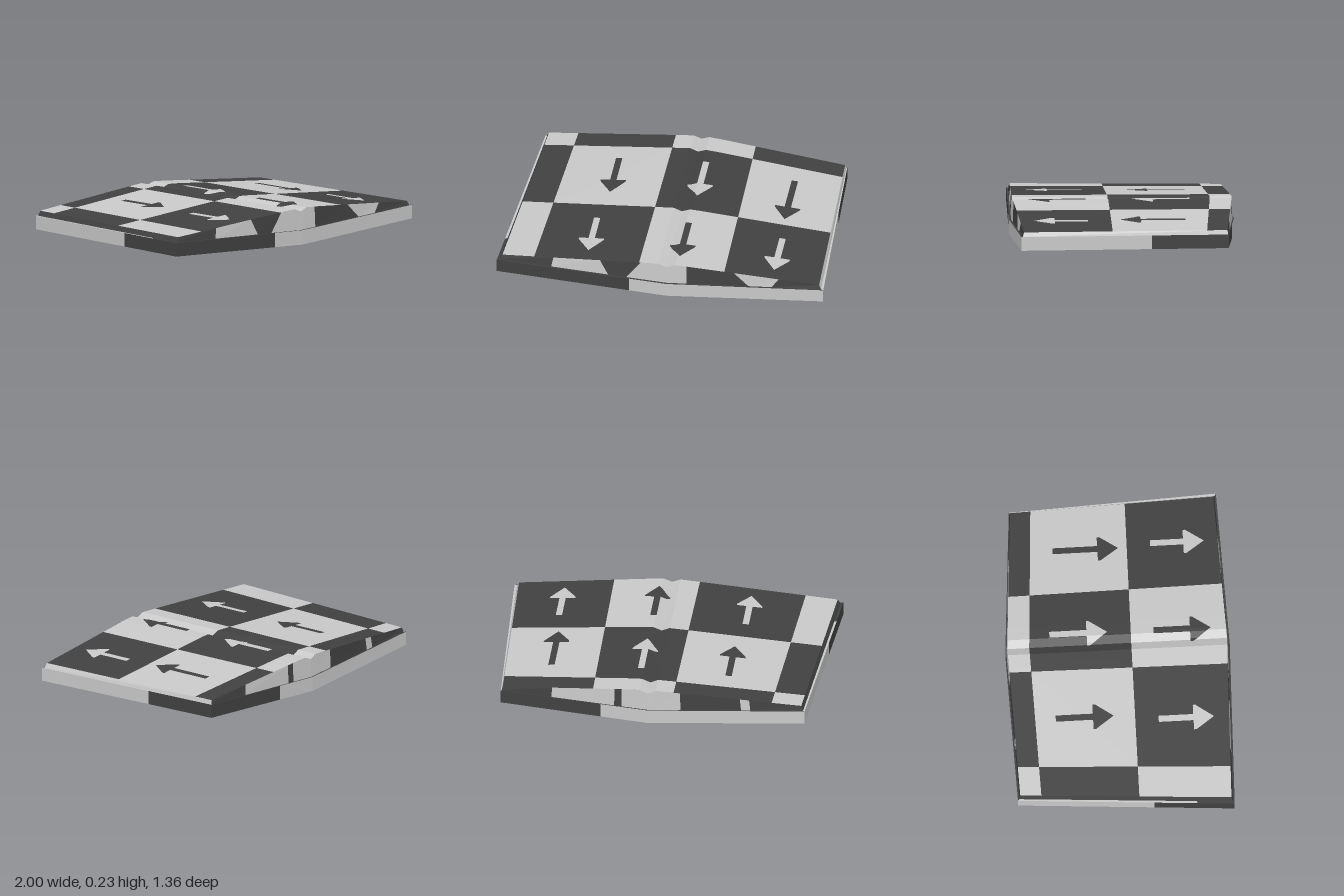
import * as THREE from 'three';

const SPINE = 0.04;
const lerp = THREE.MathUtils.lerp;

// Outlines: l / r = [xFront, zFront, xBack, zBack] at the outer edges, m = [zFront, zBack] at the spine
const coverRim = { l: [-1, 0.65, -0.91, -0.655], m: [0.677, -0.68], r: [0.995, 0.645, 0.94, -0.61] };
const pageBase = { l: [-0.985, 0.64, -0.9, -0.645], m: [0.665, -0.672], r: [0.98, 0.635, 0.935, -0.607] };
const pageRim = { l: [-0.968, 0.632, -0.888, -0.64], m: [0.66, -0.668], r: [0.967, 0.628, 0.928, -0.603] };

// Heights across the book: u runs from -1 (right edge) through 0 (spine) to 1 (left edge)
const coverBottom = (u) => 0.045 * Math.abs(u);
const coverTop = (u) => 0.088 + 0.04 * Math.abs(u);
const profile = [[-1, 0.158], [-0.14, 0.215], [-0.05, 0.22], [0, 0.2], [0.055, 0.22], [0.14, 0.216], [1, 0.153]];
function pageTop(u) {
  let i = 0;
  while (i < profile.length - 2 && u > profile[i + 1][0]) i++;
  const [a, b] = [profile[i], profile[i + 1]];
  return lerp(a[1], b[1], (u - a[0]) / (b[0] - a[0]));
}

// Point on an outline: v runs from 0 (back) to 1 (front)
function point(rim, height, u, v) {
  const s = u < 0 ? rim.l : rim.r;
  const k = Math.abs(u);
  return [
    SPINE + k * (lerp(s[2], s[0], v) - SPINE),
    height(u),
    lerp(lerp(rim.m[1], s[3], k), lerp(rim.m[0], s[1], k), v),
  ];
}

// Spine fraction u at a given x and z
function uAt(rim, x, z) {
  const s = x < SPINE ? rim.l : rim.r;
  const edge = lerp(s[2], s[0], (z + 0.65) / 1.3);
  return Math.sign(x - SPINE) * Math.min(1, Math.abs((x - SPINE) / (edge - SPINE)));
}

export function createModel() {
  const group = new THREE.Group();
  const materials = {
    Light: new THREE.MeshStandardMaterial({ color: 0xc9c9c9 }),
    Dark: new THREE.MeshStandardMaterial({ color: 0x414141 }),
  };
  materials.Light.name = 'lightGrey';
  materials.Dark.name = 'darkGrey';

  const parts = {};
  const quad = (part, dark, corners, flip = false) => {
    const [a, b, c, d] = flip ? [...corners].reverse() : corners;
    const key = part + (dark ? 'Dark' : 'Light');
    parts[key] ??= { data: [], material: materials[dark ? 'Dark' : 'Light'] };
    parts[key].data.push(...a, ...b, ...c, ...a, ...c, ...d);
  };

  // Chequered sheet cut at the colour bounds and at the folds
  function sheet(part, rim, height, us, vs, folds, firstDark, flip) {
    const cuts = [...new Set([-1, ...us, ...folds, 1])].sort((a, b) => a - b);
    const rows = [0, ...vs, 1];
    for (let i = 0; i < cuts.length - 1; i++) {
      const column = us.filter((u) => u <= cuts[i]).length;
      for (let j = 0; j < rows.length - 1; j++) {
        const dark = (column + j + firstDark) % 2 === 1;
        const p = (u, v) => point(rim, height, u, v);
        quad(part, dark, [p(cuts[i], rows[j + 1]), p(cuts[i + 1], rows[j + 1]),
          p(cuts[i + 1], rows[j]), p(cuts[i], rows[j])], flip);
      }
    }
  }

  // Front or back strip; splits = [uLower, uUpper, dark from here on]
  function wall(part, low, lowY, high, highY, splits, v) {
    const all = [...splits, [1, 1]];
    for (let i = 0; i < splits.length; i++) {
      const [a, b] = [all[i], all[i + 1]];
      quad(part, all[i][2], [point(low, lowY, a[0], v), point(low, lowY, b[0], v),
        point(high, highY, b[1], v), point(high, highY, a[1], v)], v === 0);
    }
  }

  // Strip along an outer edge; splits = [v, dark from here on]
  function side(part, low, lowY, high, highY, splits, u) {
    splits.forEach(([v0, dark], i) => {
      const v1 = i + 1 < splits.length ? splits[i + 1][0] : 1;
      quad(part, dark, [point(low, lowY, u, v1), point(low, lowY, u, v0),
        point(high, highY, u, v0), point(high, highY, u, v1)], u < 0);
    });
  }

  // Painted arrow draped on a surface, from tail to tip along z
  function arrow(part, dark, rim, height, lift, x, tail, tip, halfWidth = 0.077, shaft = 0.25) {
    const dir = Math.sign(tip - tail);
    const neck = tip - dir * 0.125;
    const cuts = [-1, -0.75, -0.5, -shaft, 0, shaft, 0.5, 0.75, 1];
    const p = (a, z) => {
      const px = x + a * halfWidth;
      return [px, height(uAt(rim, px, z)) + lift, z];
    };
    for (let i = 0; i < cuts.length - 1; i++) {
      const [a, b] = [cuts[i], cuts[i + 1]];
      const start = Math.abs(a + b) / 2 < shaft ? tail : neck;
      const end = (t) => tip - dir * 0.11 * Math.abs(t);
      quad(part, dark, [p(a, end(a)), p(b, end(b)), p(b, start), p(a, start)], (dir < 0) !== (lift < 0));
    }
  }

  // Cover
  sheet('coverUnderside', coverRim, coverBottom, [-0.205, 0.475], [0.55], [0], 0, true);
  wall('coverFront', coverRim, coverBottom, coverRim, coverTop,
    [[-1, -1, true], [-0.22, -0.22, false], [0, 0, false]], 1);
  wall('coverBack', coverRim, coverBottom, coverRim, coverTop,
    [[-1, -1, false], [0, 0, false], [0.32, 0.32, true]], 0);
  side('coverSide', coverRim, coverBottom, coverRim, coverTop, [[0, true], [0.37, false]], 1);
  side('coverSide', coverRim, coverBottom, coverRim, coverTop, [[0, false], [0.63, true]], -1);

  // Ledge of the cover around the pages
  for (const v of [0, 1]) {
    wall('coverLedge', coverRim, coverTop, pageBase, coverTop, [[-1, -1, true], [0, 0, true]], v);
  }
  side('coverLedge', coverRim, coverTop, pageBase, coverTop, [[0, false]], 1);
  side('coverLedge', coverRim, coverTop, pageBase, coverTop, [[0, false], [0.83, true]], -1);

  // Page block
  sheet('pagesTop', pageRim, pageTop, [-0.807, -0.168, 0.378], [0.1, 0.564],
    profile.map((p) => p[0]), 0, false);
  const fold = [-0.05, 0, 0.055].map((u) => [u, u, false]);
  wall('pagesFront', pageBase, coverTop, pageRim, pageTop, [
    [-1, -1, true], [-0.69, -0.69, false], [-0.35, -0.406, true], [-0.24, -0.158, false],
    ...fold, [0.13, 0.13, true], [0.53, 0.44, false], [0.68, 0.735, true]], 1);
  wall('pagesBack', pageBase, coverTop, pageRim, pageTop, [
    [-1, -1, true], [-0.66, -0.66, false], [-0.6, -0.6, true], [-0.21, -0.21, false],
    ...fold, [0.18, 0.18, true], [0.23, 0.23, false], [0.66, 0.66, true]], 0);
  side('pagesSide', pageBase, coverTop, pageRim, pageTop, [[0, false]], 1);
  side('pagesSide', pageBase, coverTop, pageRim, pageTop, [[0, true]], -1);

  // Arrows on the pages: [x, tail, tip, dark]
  for (const [x, tail, tip, dark] of [
    [-0.42, -0.4, -0.05, true], [0.11, -0.41, -0.06, false], [0.66, -0.36, 0.035, true],
    [-0.455, 0.22, 0.555, false], [0.105, 0.22, 0.565, true], [0.68, 0.23, 0.555, false],
  ]) arrow('pageArrow', dark, pageRim, pageTop, 0.004, x, tail, tip);

  // Arrows on the underside
  for (const [x, tail, tip, dark] of [
    [0.85, -0.1, -0.52, true], [0.14, -0.1, -0.52, false], [-0.54, -0.12, -0.53, true],
    [0.86, 0.62, 0.23, false], [0.09, 0.64, 0.26, true], [-0.59, 0.64, 0.25, false],
  ]) arrow('undersideArrow', dark, coverRim, coverBottom, -0.003, x, tail, tip, 0.09);

  for (const [name, { data, material }] of Object.entries(parts)) {
    const geometry = new THREE.BufferGeometry();
    geometry.setAttribute('position', new THREE.Float32BufferAttribute(data, 3));
    geometry.computeVertexNormals();
    const mesh = new THREE.Mesh(geometry, material);
    mesh.name = name;
    group.add(mesh);
  }
  // Stand on the ground
  group.position.y = 0.003;
  return group;
}
